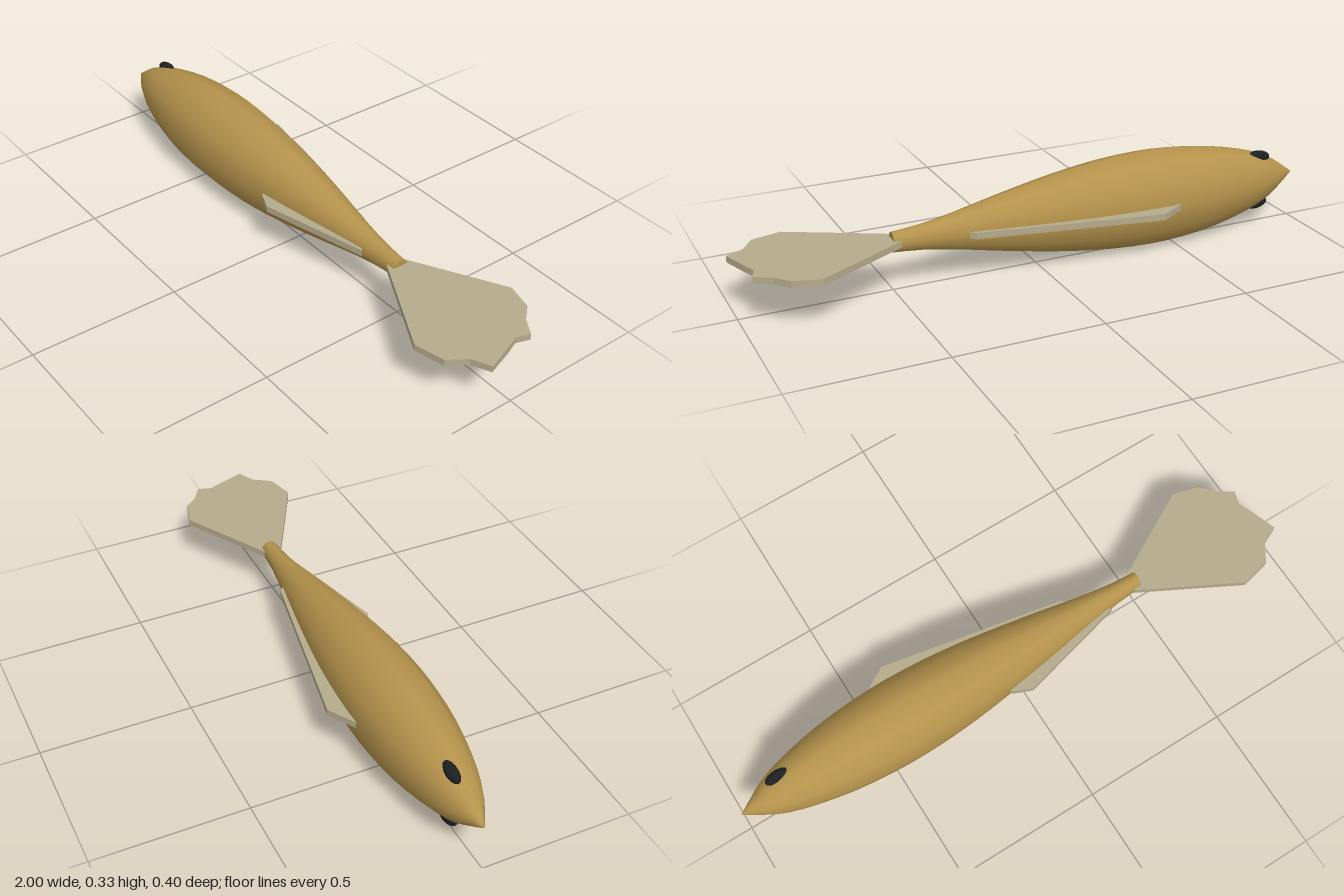
import * as THREE from 'three';

const MID_Y = 0.167;
const MID_Z = -0.005;

const gold = new THREE.MeshStandardMaterial({ name: 'goldScales', color: 0xb5934c });
const cream = new THREE.MeshStandardMaterial({ name: 'creamFin', color: 0xb5aa8c });
const black = new THREE.MeshStandardMaterial({ name: 'eyeBlack', color: 0x1c2023 });

function addMesh(parent, name, geometry, material) {
  const mesh = new THREE.Mesh(geometry, material);
  mesh.name = name;
  parent.add(mesh);
  return mesh;
}

// Flat plate from an [x, z] outline, centred on the mid height
function finPlate(outline, thickness = 0.022) {
  const shape = new THREE.Shape(outline.map(([x, z]) => new THREE.Vector2(x, -z)));
  return new THREE.ExtrudeGeometry(shape, { depth: thickness, bevelEnabled: false })
    .rotateX(-Math.PI / 2)
    .translate(0, MID_Y - thickness / 2, 0);
}

export function createModel() {
  const fish = new THREE.Group();
  fish.name = 'fish';

  // Body: twelve-sided smooth spindle along x, [x, radius]
  const stations = [
    [-1, 0.002], [-0.93, 0.052], [-0.87, 0.086], [-0.78, 0.117], [-0.65, 0.147],
    [-0.52, 0.162], [-0.4, 0.166], [-0.26, 0.159], [-0.12, 0.142], [0.02, 0.118],
    [0.16, 0.09], [0.28, 0.064], [0.4, 0.043], [0.5, 0.034],
  ];
  const curve = new THREE.SplineCurve(stations.map(([x, r]) => new THREE.Vector2(r, x)));
  const profile = curve.getPoints(26);
  const body = new THREE.LatheGeometry(profile, 12)
    .rotateZ(-Math.PI / 2)
    .scale(1, 1, 0.82)
    .translate(0, MID_Y, MID_Z);
  addMesh(fish, 'body', body, gold);

  // Flat end of the tail stalk
  const cap = new THREE.CircleGeometry(0.034, 12)
    .rotateX(0)
    .rotateY(Math.PI / 2)
    .scale(1, 1, 0.82)
    .translate(0.5, MID_Y, MID_Z);
  addMesh(fish, 'tailStalkEnd', cap, gold);

  // Fins
  addMesh(fish, 'tailFin', finPlate([
    [0.47, -0.03], [0.78, -0.2], [0.87, -0.176], [0.91, -0.13], [0.965, -0.096],
    [0.95, -0.05], [0.97, 0], [1, 0.087], [0.94, 0.115], [0.9, 0.176],
    [0.8, 0.2], [0.47, 0.025],
  ]), cream);
  addMesh(fish, 'dorsalFin', finPlate([
    [-0.52, -0.11], [-0.38, -0.192], [0.24, -0.075], [0.29, -0.03], [-0.1, -0.06],
  ]), cream);
  addMesh(fish, 'ventralFin', finPlate([
    [-0.09, 0.08], [-0.06, 0.11], [0, 0.135], [0.37, 0.04], [0.34, 0.02],
  ]), cream);

  // Eyes on both flanks, tilted to follow the head
  for (const side of [1, -1]) {
    const eye = addMesh(fish, side > 0 ? 'upperEye' : 'lowerEye',
      new THREE.SphereGeometry(1, 14, 10), black);
    eye.scale.set(0.044, 0.021, 0.02);
    eye.position.set(-0.845, MID_Y + side * 0.086, -0.027);
    eye.rotation.z = side * 0.12;
  }

  return fish;
}
